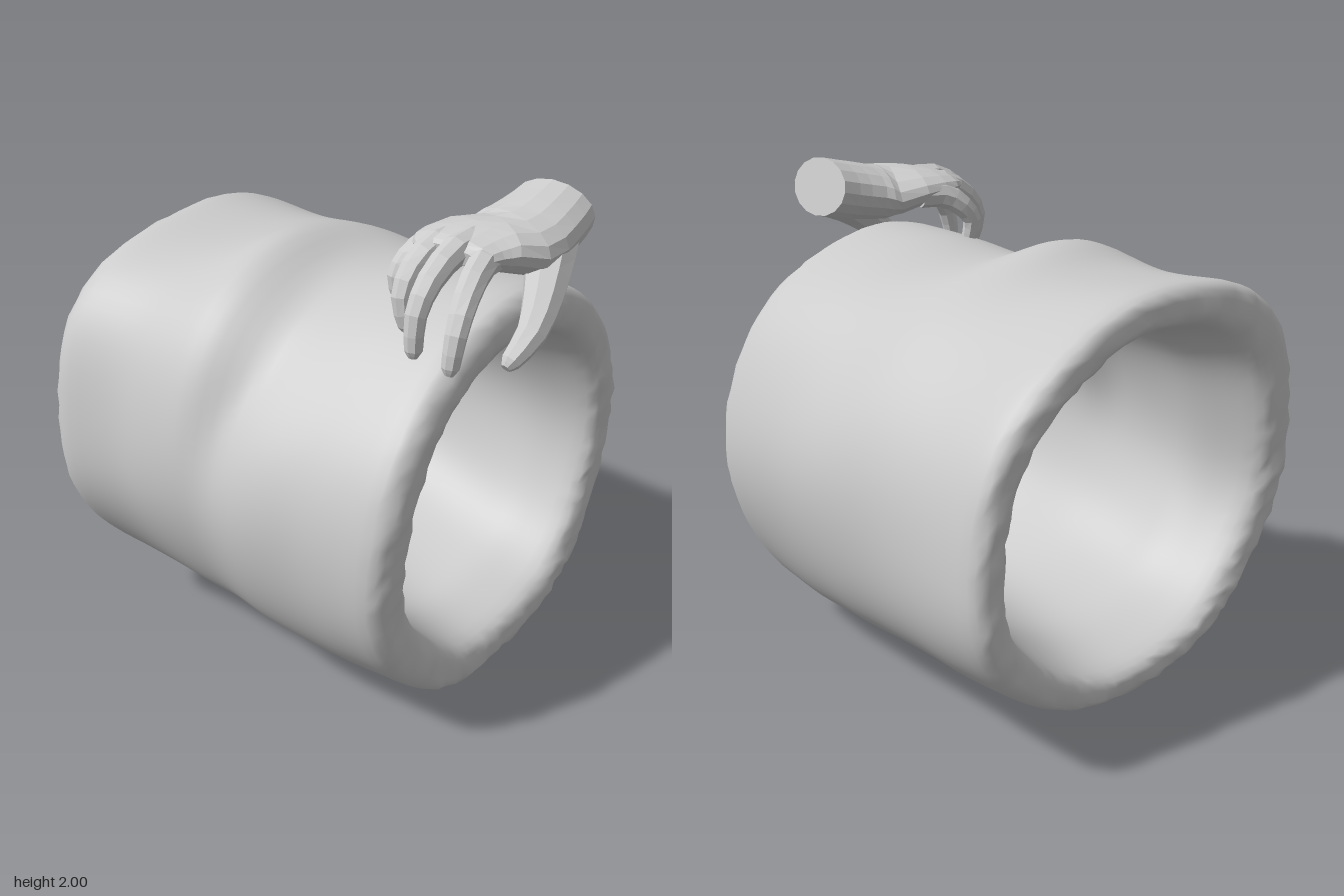
import * as THREE from 'three';

const V = (x, y, z) => new THREE.Vector3(x, y, z);
const TAU = Math.PI * 2;
const { smoothstep, lerp } = THREE.MathUtils;

// Repeatable jitter in -1..1
const jitter = (a, b) => {
  const s = Math.sin(a * 12.9898 + b * 78.233) * 43758.5453;
  return 2 * (s - Math.floor(s)) - 1;
};
const bell = (v, centre, width) => Math.exp(-(((v - centre) / width) ** 2));

// Extents along the roll: [z, left, right, bottom, top]
const OUTER = [
  [0.75, -0.81, 0.82, 0.03, 1.68], [0.4, -0.81, 0.83, 0.0, 1.67],
  [0.1, -0.84, 0.84, 0.04, 1.65], [-0.2, -0.81, 0.84, 0.05, 1.68],
  [-0.48, -0.81, 0.845, 0.07, 1.67], [-0.9, -0.87, 0.86, 0.12, 1.69],
];
// The bore flares towards both ends
const INNER = [
  [0.75, -0.61, 0.65, 0.2, 1.49], [0.4, -0.575, 0.62, 0.25, 1.455],
  [-0.1, -0.575, 0.615, 0.3, 1.455], [-0.5, -0.58, 0.625, 0.3, 1.47],
  [-0.9, -0.68, 0.71, 0.25, 1.54],
];

// Smoothly blended extents at a given z
function extents(table, z) {
  let i = 0;
  while (i < table.length - 2 && z < table[i + 1][0]) i++;
  const a = table[i], b = table[i + 1];
  const f = smoothstep((a[0] - z) / (a[0] - b[0]), 0, 1);
  return a.slice(1).map((v, k) => lerp(v, b[k + 1], f));
}

// One point of an uneven round wall, bulging on the upper rear shoulder
function wallPoint(table, angle, z, bulge) {
  const [l, r, b, t] = extents(table, z);
  const cx = 0.02, cy = 0.85, c = Math.cos(angle), s = Math.sin(angle);
  const fold = smoothstep(-z, -0.04 + 0.05 * Math.sin(angle * 5), 0.2);
  const swell = bulge * bell(angle, 2.4, 0.5) * fold
    + bulge * 0.45 * bell(angle, 1.8, 0.35) * bell(z, -0.22, 0.13)
    + 0.007 * Math.sin(angle * 3 + z * 5) * Math.sin(angle * 2 - z * 4)
    + 0.005 * Math.sin(angle * 7 + z * 3);
  return V(
    cx + c * ((c > 0 ? r - cx : cx - l) + swell),
    cy + s * ((s > 0 ? t - cy : cy - b) + swell), z);
}

// Closed wall outline: [z, thickness fraction, rim amount]
function wallOutline() {
  const list = [], front = 0.63, back = -0.77, steps = 30;
  const pow = (v) => Math.sign(v) * Math.abs(v) ** 0.75;
  const rim = (z, dir, from) => {
    for (let i = 1; i < 9; i++) {
      const a = (i / 9) * Math.PI;
      list.push([z + dir * 0.1 * pow(Math.sin(a)), 0.5 + 0.5 * from * pow(Math.cos(a)), Math.sin(a)]);
    }
  };
  for (let i = 0; i <= steps; i++) list.push([lerp(front, back, i / steps), 1, 0]);
  rim(back, -1, 1);
  for (let i = 0; i <= steps; i++) list.push([lerp(back, front, i / steps), 0, 0]);
  rim(front, 1, -1);
  return list;
}

function rollGeometry() {
  const outline = wallOutline(), n = outline.length, around = 96;
  const pos = [], index = [];
  for (let i = 0; i < around; i++) {
    const a = (i / around) * TAU;
    outline.forEach(([z, t, rim], k) => {
      const p = wallPoint(INNER, a, z, 0.07).lerp(wallPoint(OUTER, a, z, 0.11), t);
      // Ends wander a little and their rims are rough
      p.z += z > 0
        ? smoothstep(z, 0.3, 0.7) * (0.012 * Math.sin(a) + 0.006 * Math.sin(a * 5))
        : smoothstep(-z, 0.4, 0.85) * (0.008 * Math.sin(a * 4) - 0.015 * Math.cos(a));
      p.z += 0.01 * rim * jitter(i, k);
      pos.push(p.x, p.y, p.z);
      const i2 = (i + 1) % around, k2 = (k + 1) % n;
      const A = i * n + k, B = i * n + k2, C = i2 * n + k2, D = i2 * n + k;
      index.push(A, B, C, A, C, D);
    });
  }
  return makeGeometry(pos, index);
}

function makeGeometry(pos, index) {
  const g = new THREE.BufferGeometry();
  g.setAttribute('position', new THREE.Float32BufferAttribute(pos, 3));
  g.setIndex(index);
  g.computeVertexNormals();
  return g;
}

// Capped loft through rings: [x, y, z, half width, half height]
function loft(rings, sides, steps) {
  const curve = new THREE.CatmullRomCurve3(rings.map((r) => V(r[0], r[1], r[2])));
  const pos = [], index = [], last = rings.length - 1;
  for (let i = 0; i <= steps; i++) {
    const u = i / steps, k = Math.min(Math.floor(u * last), last - 1), f = u * last - k;
    const p = curve.getPoint(u), tan = curve.getTangent(u);
    const side = V(0, 0, 1).addScaledVector(tan, -tan.z).normalize();
    const up = tan.clone().cross(side);
    const w = lerp(rings[k][3], rings[k + 1][3], f), h = lerp(rings[k][4], rings[k + 1][4], f);
    for (let j = 0; j < sides; j++) {
      const a = (j / sides) * TAU;
      const q = p.clone().addScaledVector(side, Math.cos(a) * w).addScaledVector(up, Math.sin(a) * h);
      pos.push(q.x, q.y, q.z);
      if (i < steps) {
        const A = i * sides + j, B = i * sides + ((j + 1) % sides);
        index.push(A, B, B + sides, A, B + sides, A + sides);
      }
    }
  }
  const c = pos.length / 3, top = steps * sides;
  pos.push(...rings[0].slice(0, 3), ...rings[last].slice(0, 3));
  for (let j = 0; j < sides; j++) {
    const j2 = (j + 1) % sides;
    index.push(c, j2, j, c + 1, top + j, top + j2);
  }
  return makeGeometry(pos, index);
}

// Tapered digit along a path with a blunt tip
function digit(path, r0, r1) {
  const n = path.length - 1;
  const rings = path.map((p, i) => {
    const r = lerp(r0, r1, i / n);
    return [...p, r, r];
  });
  const [a, b] = [V(...path[n - 1]), V(...path[n])];
  const tip = b.clone().addScaledVector(b.clone().sub(a).normalize(), r1 * 0.8);
  rings.push([tip.x, tip.y, tip.z, r1 * 0.5, r1 * 0.5]);
  return loft(rings, 8, n * 2 + 2);
}

export function createModel() {
  const model = new THREE.Group();
  const smooth = new THREE.MeshStandardMaterial({ color: 0xcccccc });
  const faceted = new THREE.MeshStandardMaterial({ color: 0xcccccc, flatShading: true });
  const add = (parent, name, geometry, material) => {
    const mesh = new THREE.Mesh(geometry, material);
    mesh.name = name;
    parent.add(mesh);
  };

  // Thick hollow roll
  add(model, 'hollowRoll', rollGeometry(), smooth);

  // Hand resting on the front upper edge
  const hand = new THREE.Group();
  hand.name = 'hand';
  model.add(hand);
  add(hand, 'palm', loft([
    [0.335, 1.886, 0.635, 0.165, 0.115], [0.2, 1.855, 0.64, 0.185, 0.115],
    [0.06, 1.835, 0.625, 0.21, 0.108], [-0.07, 1.855, 0.565, 0.2, 0.078],
    [-0.18, 1.86, 0.55, 0.175, 0.05], [-0.22, 1.855, 0.55, 0.13, 0.03],
  ], 16, 10), faceted);

  // Digit paths, from knuckle to tip
  const digits = {
    indexFinger: [[-0.05, 1.84, 0.66], [-0.19, 1.84, 0.68], [-0.33, 1.77, 0.715], [-0.41, 1.67, 0.735], [-0.435, 1.565, 0.735]],
    middleFinger: [[-0.05, 1.865, 0.585], [-0.2, 1.87, 0.58], [-0.34, 1.8, 0.575], [-0.415, 1.7, 0.575], [-0.43, 1.58, 0.58]],
    ringFinger: [[-0.05, 1.855, 0.5], [-0.17, 1.86, 0.48], [-0.28, 1.8, 0.46], [-0.34, 1.71, 0.46], [-0.335, 1.61, 0.48]],
    littleFinger: [[-0.03, 1.84, 0.44], [-0.11, 1.83, 0.405], [-0.18, 1.78, 0.365], [-0.22, 1.72, 0.35], [-0.215, 1.65, 0.36]],
  };
  for (const [name, path] of Object.entries(digits)) {
    add(hand, name, digit(path, 0.06, 0.032), faceted);
  }
  add(hand, 'thumb', digit([
    [0.25, 1.855, 0.68], [0.11, 1.78, 0.76], [-0.02, 1.695, 0.82], [-0.14, 1.615, 0.855], [-0.235, 1.545, 0.84],
  ], 0.11, 0.036), faceted);
  return model;
}
